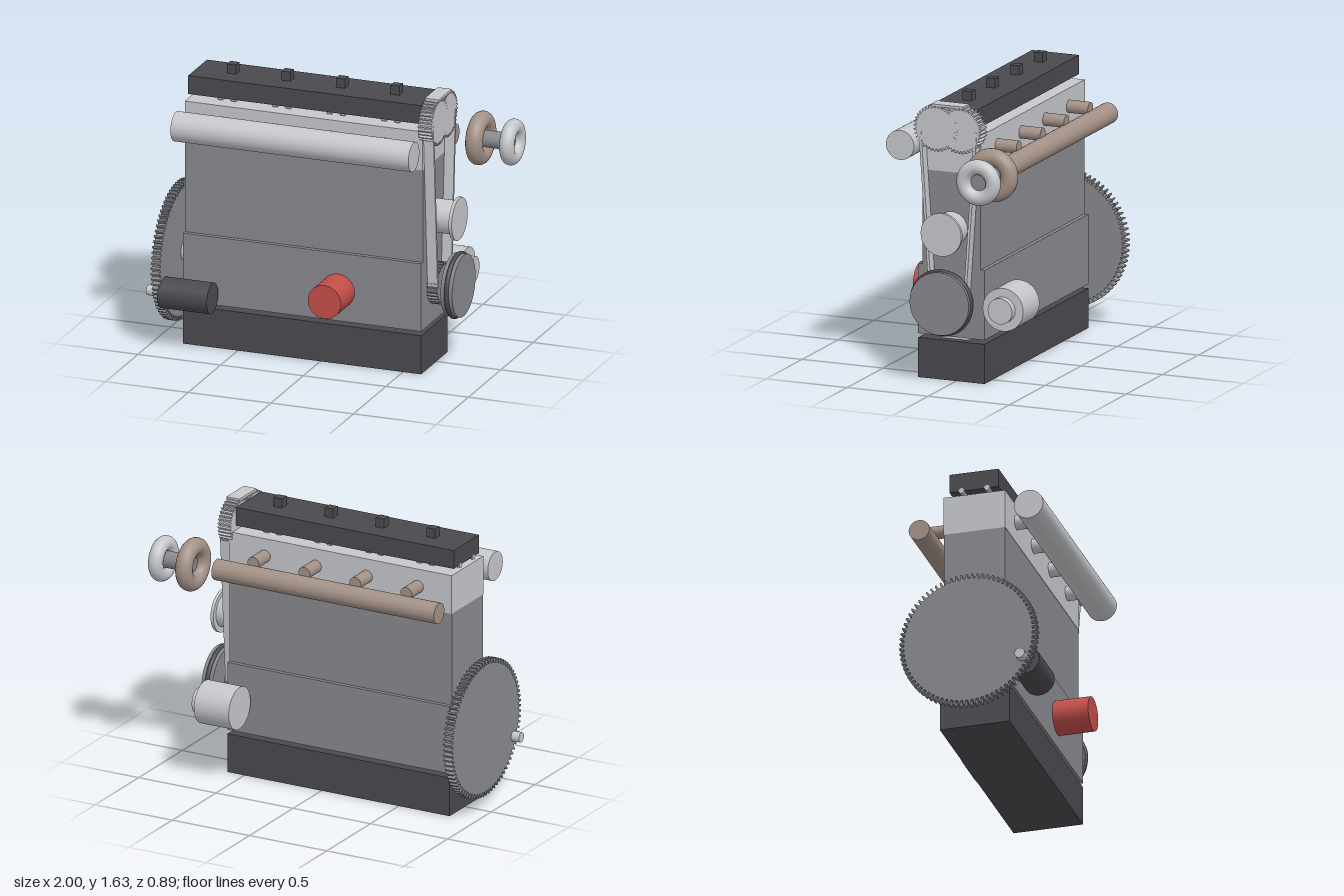
import * as THREE from 'three';

const mat = (name, color) => {
  const m = new THREE.MeshStandardMaterial({ color });
  m.name = name;
  return m;
};

export function createModel() {
  const light = mat('lightMetal', 0xc6c7cb);
  const grey = mat('castGrey', 0x88898d);
  const dark = mat('darkGrey', 0x4a494e);
  const brown = mat('exhaustBrown', 0xa39186);
  const red = mat('filterRed', 0xc34d48);

  const engine = new THREE.Group();
  engine.name = 'engine';
  const MID = 0.027; // centre plane of the block in z
  const CRANK_Y = 0.484;
  const CAM_Y = 1.47;
  const cylinders = [-0.61, -0.28, 0.05, 0.38];

  const add = (name, geo, material) => {
    const m = new THREE.Mesh(geo, material);
    m.name = name;
    engine.add(m);
    return m;
  };
  // box from its limits
  const box = (name, material, x0, x1, y0, y1, z0, z1) =>
    add(name, new THREE.BoxGeometry(x1 - x0, y1 - y0, z1 - z0)
      .translate((x0 + x1) / 2, (y0 + y1) / 2, (z0 + z1) / 2), material);
  // cylinder lying along x
  const rodX = (name, material, x0, x1, y, z, r, sides = 48) =>
    add(name, new THREE.CylinderGeometry(r, r, x1 - x0, sides)
      .rotateZ(Math.PI / 2).translate((x0 + x1) / 2, y, z), material);
  // cylinder lying along z
  const rodZ = (name, material, x, y, z0, z1, r) =>
    add(name, new THREE.CylinderGeometry(r, r, z1 - z0, 40)
      .rotateX(Math.PI / 2).translate(x, y, (z0 + z1) / 2), material);
  const ringX = (name, material, x, y, z, R, tube) =>
    add(name, new THREE.TorusGeometry(R, tube, 20, 56)
      .rotateY(Math.PI / 2).translate(x, y, z), material);
  // toothed wheel facing along x
  const gear = (name, material, x0, x1, y, z, root, tip, teeth) => {
    const pts = [];
    for (let i = 0; i < teeth; i++) {
      [[0, root], [0.45, root], [0.58, tip], [0.87, tip]].forEach(([f, r]) => {
        const a = ((i + f) / teeth) * Math.PI * 2;
        pts.push(new THREE.Vector2(Math.cos(a) * r, Math.sin(a) * r));
      });
    }
    const geo = new THREE.ExtrudeGeometry(new THREE.Shape(pts), { depth: x1 - x0, bevelEnabled: false });
    return add(name, geo.rotateY(Math.PI / 2).translate(x0, y, z), material);
  };

  // main castings
  box('oilPan', dark, -0.83, 0.61, 0, 0.23, -0.175, 0.235);
  box('oilPump', light, 0.41, 0.56, 0.2, 0.29, -0.055, 0.115);
  box('crankcase', grey, -0.83, 0.61, 0.255, 0.66, -0.175, 0.235);
  box('cylinderBlock', grey, -0.83, 0.61, 0.66, 1.21, -0.15, 0.208);
  box('cylinderHead', light, -0.83, 0.61, 1.21, 1.44, -0.153, 0.21);
  box('valveCover', dark, -0.825, 0.585, 1.47, 1.58, -0.12, 0.17);

  // camshafts, lobes and cam gears
  for (const s of [-1, 1]) {
    const z = MID + s * 0.075;
    rodX('camshaft', light, -0.83, 0.6, CAM_Y, z, 0.016, 20);
    for (const x of cylinders) {
      for (const d of [-0.04, 0.04]) {
        rodX('camLobe', light, x + d - 0.014, x + d + 0.014, CAM_Y - 0.008, z, 0.028, 20);
      }
    }
    gear('camGear', light, 0.59, s > 0 ? 0.67 : 0.669, CAM_Y, z, 0.12, 0.135, 36);
  }

  // timing drive
  gear('crankGear', grey, 0.61, 0.668, CRANK_Y, MID, 0.108, 0.122, 30);
  for (const s of [-1, 1]) {
    const top = MID + s * 0.172, bottom = MID + s * 0.105;
    const dy = CAM_Y - CRANK_Y, dz = top - bottom;
    const strand = add('timingBeltStrand', new THREE.BoxGeometry(0.06, Math.hypot(dy, dz), 0.016), light);
    strand.position.set(0.642, (CAM_Y + CRANK_Y) / 2, (top + bottom) / 2);
    strand.rotation.x = Math.atan2(dz, dy);
  }
  box('timingBeltTop', light, 0.59, 0.674, 1.598, 1.612, MID - 0.1, MID + 0.1);

  // water pump and crank pulley
  rodX('waterPump', light, 0.61, 0.745, 0.885, MID, 0.097);
  rodX('waterPumpPulley', light, 0.743, 0.762, 0.88, MID, 0.125);
  rodX('crankshaftNose', light, 0.6, 0.73, CRANK_Y, MID, 0.045);
  rodX('crankPulley', grey, 0.717, 0.787, CRANK_Y, MID, 0.182, 64);
  ringX('crankPulleyBelt', dark, 0.752, CRANK_Y, MID, 0.18, 0.014);

  // flywheel and starter
  rodX('flywheelHub', light, -0.91, -0.82, CRANK_Y, MID, 0.063);
  gear('flywheel', grey, -0.95, -0.9, CRANK_Y, MID, 0.378, 0.405, 80);
  rodX('starterMotor', dark, -0.91, -0.61, 0.333, 0.345, 0.09);
  rodX('starterShaft', light, -1, -0.9, 0.335, 0.345, 0.03, 24);

  // intake and exhaust manifolds
  rodX('intakeManifold', light, -0.83, 0.61, 1.335, 0.347, 0.086);
  rodX('exhaustManifold', brown, -0.83, 0.61, 1.26, -0.297, 0.061);
  for (const x of cylinders) {
    rodZ('intakeRunner', light, x, 1.335, 0.18, 0.32, 0.042);
    rodZ('exhaustRunner', brown, x, 1.335, -0.285, -0.13, 0.037);
    box('ignitionCoil', dark, x - 0.027, x + 0.027, 1.56, 1.635, -0.003, 0.052);
  }

  // turbocharger
  ringX('turbineHousing', brown, 0.765, 1.26, -0.292, 0.105, 0.05);
  ringX('compressorHousing', light, 0.957, 1.26, -0.292, 0.09, 0.043);
  rodX('turboShaft', grey, 0.765, 0.957, 1.26, -0.292, 0.049);

  // alternator and oil filter
  rodX('alternator', light, 0.45, 0.675, 0.46, -0.317, 0.125);
  rodX('alternatorPulley', light, 0.67, 0.718, 0.46, -0.317, 0.075);
  rodZ('oilFilter', red, 0.107, 0.435, 0.22, 0.445, 0.1);

  return engine;
}
